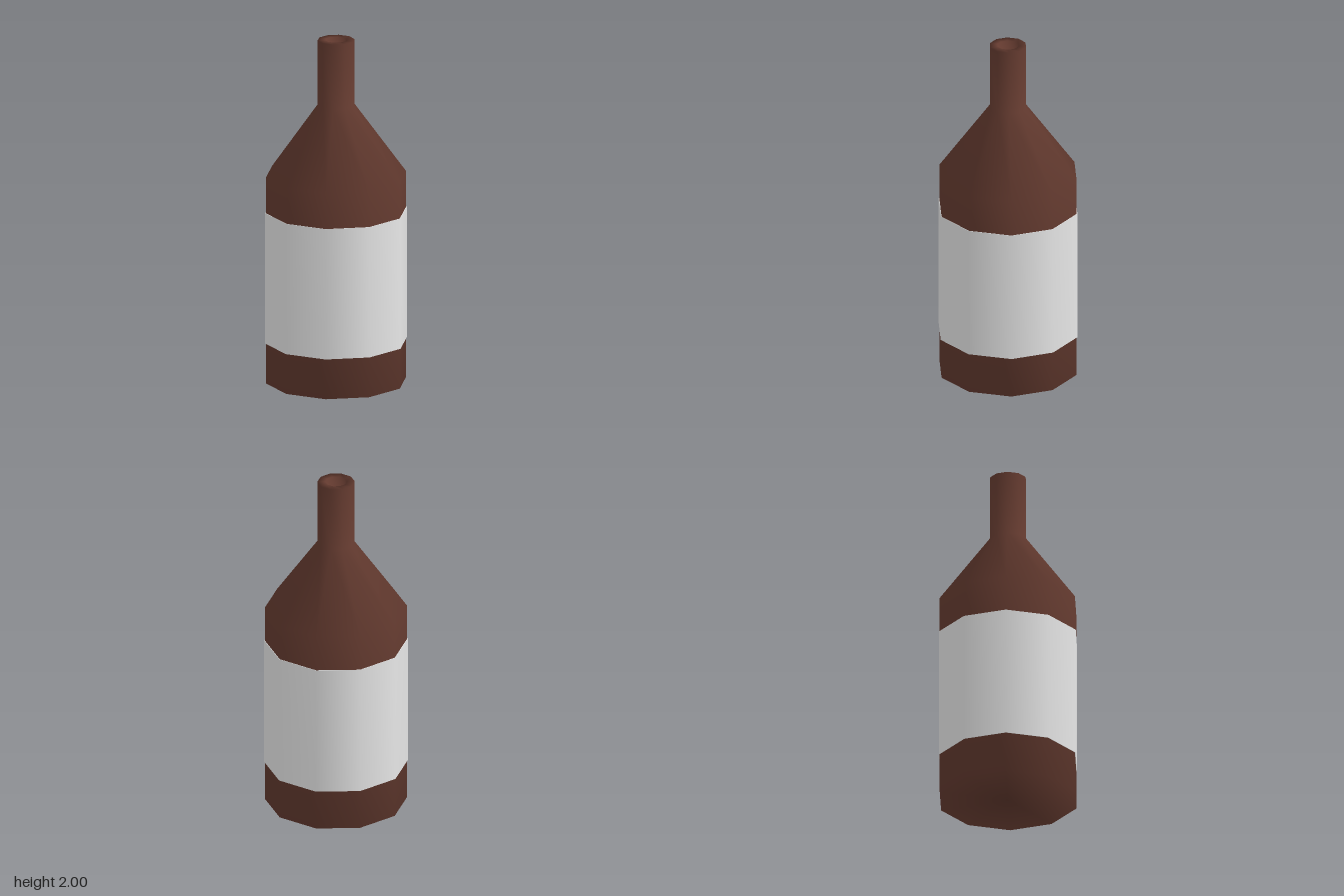
import * as THREE from 'three';

const SIDES = 10;

// Spins a list of [radius, height] points into a ten-sided part
function turned(name, points, material) {
  const profile = points.map(([r, y]) => new THREE.Vector2(r, y));
  const mesh = new THREE.Mesh(new THREE.LatheGeometry(profile, SIDES), material);
  mesh.name = name;
  return mesh;
}

export function createModel() {
  const brown = new THREE.MeshStandardMaterial({ color: 0x633a2f });
  brown.name = 'brown glass';
  const white = new THREE.MeshStandardMaterial({ color: 0xf4f4f4 });
  white.name = 'white paper';

  const bottle = new THREE.Group();
  bottle.name = 'bottle';

  // Base, straight wall, sloping shoulder, neck and hollow mouth
  bottle.add(turned('glassBody', [
    [0, 0], [0.402, 0], [0.402, 1.21], [0.106, 1.62],
    [0.106, 2], [0.062, 2], [0.062, 1.94], [0, 1.94],
  ], brown));

  // Thin paper band around the wall, with its top and bottom rims
  bottle.add(turned('label', [
    [0.401, 0.235], [0.407, 0.235], [0.407, 1], [0.401, 1],
  ], white));

  return bottle;
}
